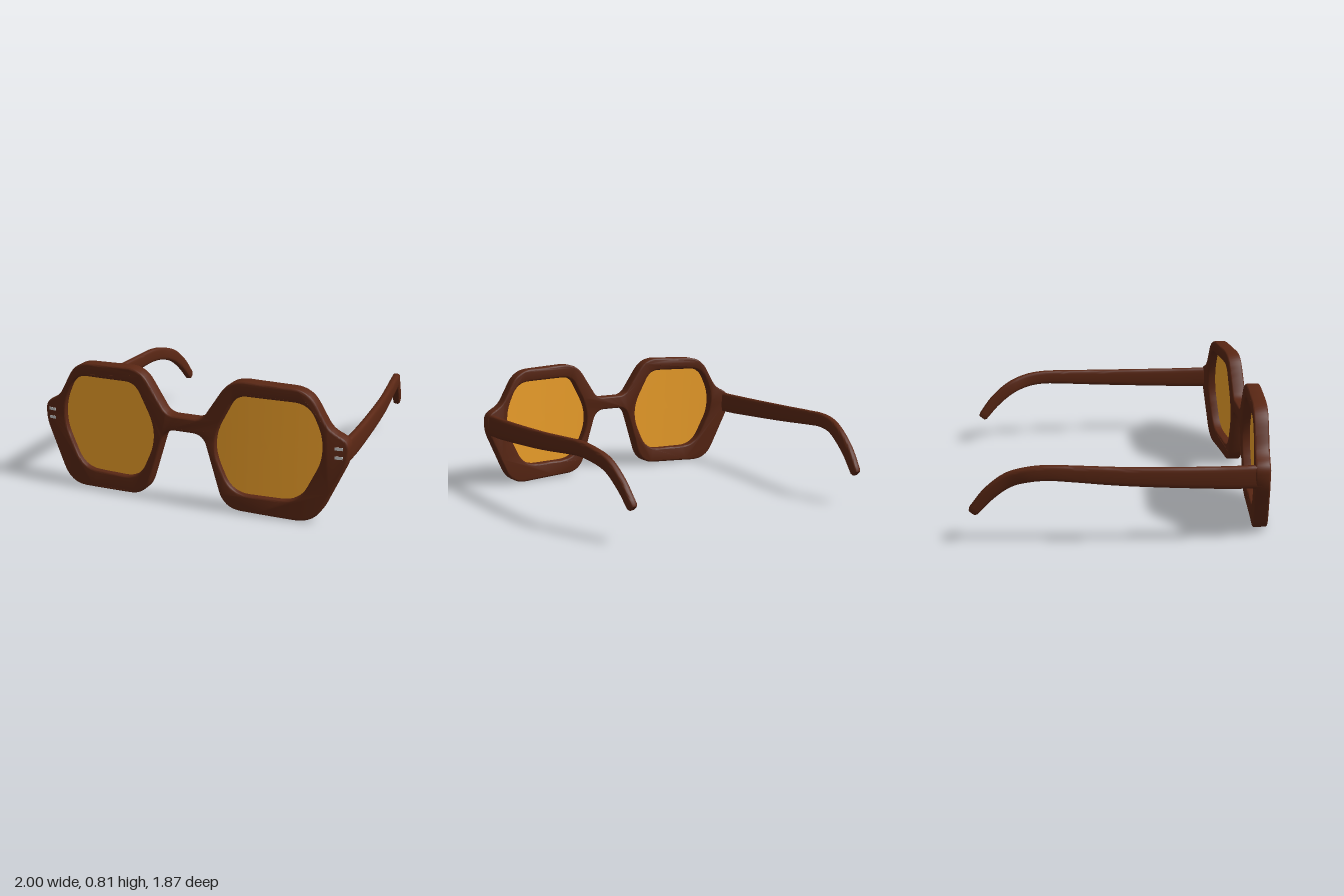
import * as THREE from 'three';
import { toCreasedNormals } from 'three/addons/utils/BufferGeometryUtils.js';

const FRONT = 0.932, DEPTH = 0.092, BEVEL = 0.012;

// Face-form wrap and slight tilt shared by everything on the front
const wrap = (x, y) => -0.075 * x * x - 0.035 * (y - 0.4);

// Corners are [x, y, rounding]; edges are subdivided so they can follow the wrap
function roundedOutline(corners) {
  const n = corners.length, points = [];
  const at = (i) => new THREE.Vector2(corners[(i + n) % n][0], corners[(i + n) % n][1]);
  const toward = (from, to, d) => from.clone().add(to.clone().sub(from).setLength(d));
  for (let i = 0; i < n; i++) {
    const p = at(i), next = at(i + 1);
    const r = corners[i][2], rNext = corners[(i + 1) % n][2];
    const start = toward(p, at(i - 1), r), end = toward(p, next, r);
    points.push(...new THREE.QuadraticBezierCurve(start, p, end).getPoints(8));
    const nextStart = toward(next, p, rNext);
    for (let k = 1; k < 6; k++) points.push(end.clone().lerp(nextStart, k / 6));
  }
  return points;
}

const mirror = (corners) => corners.map(([x, y, r]) => [-x, y, r]).reverse();

const rimHalf = [
  [0.115, 0.55, 0.05], [0.29, 0.815, 0.1], [0.76, 0.795, 0.1], [0.89, 0.565, 0.05],
  [1.0, 0.51, 0.05], [1.0, 0.39, 0.055], [0.82, -0.005, 0.12], [0.26, 0.018, 0.11], [0.125, 0.46, 0.07],
];
const opening = [
  [0.33, 0.724, 0.07], [0.765, 0.715, 0.09], [0.849, 0.53, 0.07], [0.849, 0.38, 0.07],
  [0.72, 0.115, 0.11], [0.305, 0.117, 0.11], [0.17, 0.42, 0.15],
];

function frameGeometry() {
  // Holes wind opposite to the clockwise outer outline
  const shape = new THREE.Shape(roundedOutline([...rimHalf, ...mirror(rimHalf)]).reverse());
  for (const hole of [opening, mirror(opening)]) shape.holes.push(new THREE.Path(roundedOutline(hole)));
  const geo = new THREE.ExtrudeGeometry(shape, {
    depth: DEPTH - 2 * BEVEL, bevelThickness: BEVEL, bevelSize: BEVEL,
    bevelOffset: -BEVEL, bevelSegments: 3, curveSegments: 1,
  });
  geo.translate(0, 0, FRONT - DEPTH + BEVEL);
  const pos = geo.attributes.position;
  for (let i = 0; i < pos.count; i++) pos.setZ(i, pos.getZ(i) + wrap(pos.getX(i), pos.getY(i)));
  return toCreasedNormals(geo, 0.7);
}

// Builds a surface over rows of points; each row is a closed ring
function loft(rows) {
  const n = rows[0].length, index = [];
  for (let r = 0; r < rows.length - 1; r++) {
    for (let i = 0; i < n; i++) {
      const a = r * n + i, b = r * n + (i + 1) % n;
      index.push(a, b, a + n, b, b + n, a + n);
    }
  }
  const geo = new THREE.BufferGeometry().setFromPoints(rows.flat());
  geo.setIndex(index);
  geo.computeVertexNormals();
  return geo;
}

// Curved lens made of rings shrinking toward its centre
function lensGeometry() {
  const outline = roundedOutline(opening), rows = [];
  for (let k = 0; k <= 6; k++) {
    const s = Math.max(0.001, 1.015 * k / 6);
    rows.push(outline.map((p) => {
      const x = 0.52 + (p.x - 0.52) * s, y = 0.415 + (p.y - 0.415) * s;
      return new THREE.Vector3(x, y, FRONT - 0.035 + wrap(x, y));
    }));
  }
  return loft(rows);
}

// Temple stations: x, y, z, height, thickness
const stations = [
  [0.97, 0.437, 0.81, 0.145, 0.05], [0.973, 0.438, 0.6, 0.14, 0.048], [0.957, 0.458, 0, 0.115, 0.046],
  [0.934, 0.475, -0.3, 0.1, 0.047], [0.92, 0.481, -0.45, 0.094, 0.05], [0.902, 0.467, -0.57, 0.092, 0.052],
  [0.87, 0.424, -0.69, 0.09, 0.051], [0.85, 0.33, -0.81, 0.082, 0.05], [0.834, 0.217, -0.905, 0.066, 0.049],
];

function templeGeometry() {
  const path = new THREE.CatmullRomCurve3(stations.map(([x, y, z]) => new THREE.Vector3(x, y, z)));
  const rows = [], steps = 48, sides = 20, last = stations.length - 1;
  const ring = (t, scale, shift = 0) => {
    const i = Math.min(last - 1, Math.floor(t * last)), f = t * last - i;
    const size = (k) => THREE.MathUtils.lerp(stations[i][k], stations[i + 1][k], f) / 2 * scale;
    const tangent = path.getTangent(t);
    const up = new THREE.Vector3(0, -tangent.z, tangent.y).normalize();
    const across = new THREE.Vector3().crossVectors(up, tangent).normalize();
    const centre = path.getPoint(t).addScaledVector(tangent, shift);
    return Array.from({ length: sides }, (_, k) => {
      const a = k / sides * Math.PI * 2, c = Math.cos(a), s = Math.sin(a);
      const u = Math.sign(c) * Math.abs(c) ** 0.55, v = Math.sign(s) * Math.abs(s) ** 0.55;
      return centre.clone().addScaledVector(across, u * size(4)).addScaledVector(up, v * size(3));
    });
  };
  rows.push(ring(0, 0.001));
  for (let k = 0; k <= steps; k++) rows.push(ring(k / steps, 1));
  rows.push(ring(1, 0.75, 0.015), ring(1, 0.001, 0.015));
  return toCreasedNormals(loft(rows), 0.8);
}

export function createModel() {
  const model = new THREE.Group();
  model.name = 'glasses';
  const tortoise = new THREE.MeshStandardMaterial({ color: 0x5a2714 });
  const amber = new THREE.MeshStandardMaterial({ color: 0xf4a42b, side: THREE.DoubleSide });
  const silver = new THREE.MeshStandardMaterial({ color: 0xcccccc });

  const add = (parent, name, geo, mat) => {
    const mesh = new THREE.Mesh(geo, mat);
    mesh.name = name;
    parent.add(mesh);
    return mesh;
  };

  add(model, 'frontFrame', frameGeometry(), tortoise);

  const lens = lensGeometry(), temple = templeGeometry();
  const rivet = new THREE.BoxGeometry(0.048, 0.018, 0.01);
  for (const [side, sign] of [['left', 1], ['right', -1]]) {
    const half = new THREE.Group();
    half.name = side + 'Side';
    half.scale.x = sign;
    model.add(half);
    add(half, side + 'Lens', lens, amber);
    add(half, side + 'Temple', temple, tortoise);
    // Pair of metal rivet bars on the end piece
    for (const y of [0.413, 0.467]) {
      const bar = add(half, side + 'Rivet', rivet, silver);
      bar.position.set(0.946, y, FRONT - 0.002 + wrap(0.946, y));
      bar.rotation.y = 0.14;
    }
  }
  return model;
}
